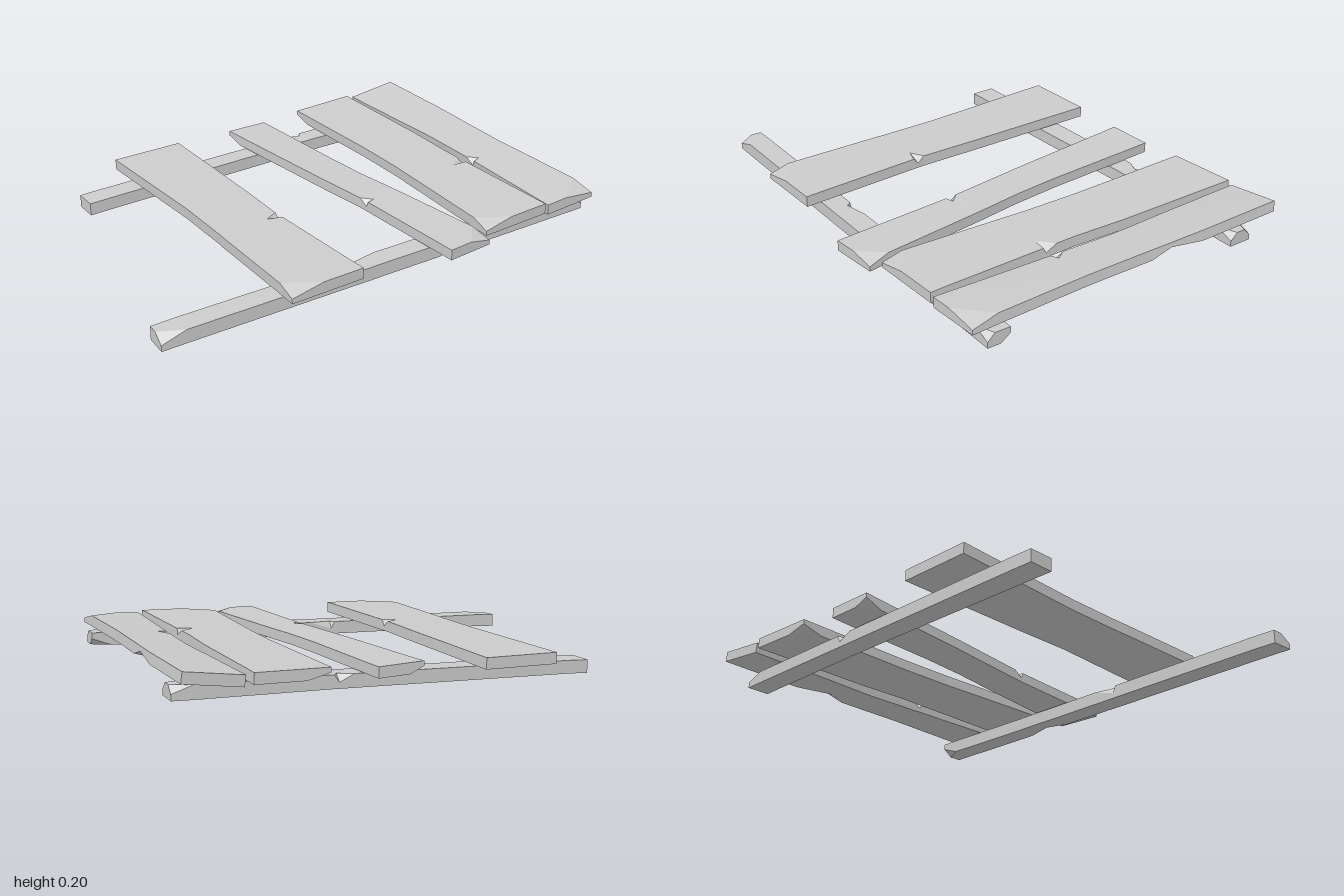
import * as THREE from 'three';

// A rough board lofted through sections. Each section is
// [left top corner, right top corner, chips], chips = { lt, rt, lb, rb }
// giving how far each long edge (left/right, top/bottom) is chipped inwards.
function board(name, thickness, sections) {
  const rings = sections.map(([l, r, chips = {}]) => {
    const L = new THREE.Vector3(...l), R = new THREE.Vector3(...r);
    const across = R.clone().sub(L).normalize();
    const up = new THREE.Vector3(0, 1, 0).addScaledVector(across, -across.y).normalize();
    const down = up.multiplyScalar(-thickness);
    const corner = (base, inward, vertical, width = 0) => {
      const drop = width ? thickness * 0.55 : 0;
      return {
        flat: base.clone().addScaledVector(across, inward * width),
        side: base.clone().addScaledVector(down, vertical * drop / thickness),
      };
    };
    const lt = corner(L, 1, 1, chips.lt), rt = corner(R, -1, 1, chips.rt);
    const lb = corner(L.clone().add(down), 1, -1, chips.lb);
    const rb = corner(R.clone().add(down), -1, -1, chips.rb);
    return [lb.flat, rb.flat, rb.side, rt.side, rt.flat, lt.flat, lt.side, lb.side];
  });

  const pos = [];
  const tri = (a, b, c) => {
    const area = b.clone().sub(a).cross(c.clone().sub(a)).length();
    if (area > 1e-7) for (const p of [a, b, c]) pos.push(p.x, p.y, p.z);
  };
  for (let s = 0; s < rings.length - 1; s++) {
    const A = rings[s], B = rings[s + 1];
    for (let i = 0; i < 8; i++) {
      const j = (i + 1) % 8;
      tri(A[i], A[j], B[j]);
      tri(A[i], B[j], B[i]);
    }
  }
  // End caps
  const first = rings[0], last = rings[rings.length - 1];
  const middle = (ring) => ring.reduce((m, p) => m.add(p), new THREE.Vector3()).divideScalar(8);
  const m0 = middle(first), m1 = middle(last);
  for (let i = 0; i < 8; i++) {
    const j = (i + 1) % 8;
    tri(m0, first[j], first[i]);
    tri(m1, last[i], last[j]);
  }
  const geo = new THREE.BufferGeometry();
  geo.setAttribute('position', new THREE.Float32BufferAttribute(pos, 3));
  geo.computeVertexNormals();
  const mesh = new THREE.Mesh(geo, new THREE.MeshStandardMaterial({ color: 0xcccccc, flatShading: true }));
  mesh.name = name;
  return mesh;
}

export function createModel() {
  const group = new THREE.Group();
  group.name = 'brokenFence';

  // Upright planks, sections run from back to front
  group.add(board('widePlank', 0.045, [
    [[-0.485, 0.138, -0.75], [-0.175, 0.145, -0.74]],
    [[-0.485, 0.137, -0.15], [-0.205, 0.144, -0.15]],
    [[-0.497, 0.136, 0.095], [-0.222, 0.143, 0.095]],
    [[-0.499, 0.136, 0.125], [-0.222, 0.143, 0.125], { rt: 0.06 }],
    [[-0.501, 0.136, 0.145], [-0.222, 0.143, 0.145]],
    [[-0.526, 0.134, 0.57], [-0.221, 0.142, 0.57]],
    [[-0.532, 0.133, 0.655], [-0.22, 0.142, 0.665], { lt: 0.14 }],
  ]));

  group.add(board('narrowPlank', 0.043, [
    [[0.075, 0.153, -0.71], [0.265, 0.15, -0.715], { lb: 0.06 }],
    [[0.08, 0.152, -0.63], [0.267, 0.15, -0.63]],
    [[0.103, 0.15, -0.2], [0.27, 0.15, -0.2]],
    [[0.116, 0.148, 0], [0.278, 0.149, 0]],
    [[0.13, 0.147, 0.19], [0.295, 0.148, 0.19]],
    [[0.131, 0.146, 0.23], [0.298, 0.148, 0.23], { lt: 0.035 }],
    [[0.131, 0.146, 0.24], [0.299, 0.148, 0.24]],
    [[0.134, 0.142, 0.645], [0.327, 0.146, 0.645]],
    [[0.135, 0.141, 0.745], [0.335, 0.145, 0.735], { rt: 0.1 }],
  ]));

  group.add(board('middlePlank', 0.043, [
    [[0.45, 0.167, -0.71], [0.742, 0.177, -0.71], { lb: 0.09 }],
    [[0.448, 0.167, -0.62], [0.737, 0.177, -0.62]],
    [[0.435, 0.165, -0.17], [0.712, 0.175, -0.17]],
    [[0.42, 0.164, 0.06], [0.69, 0.174, 0.06]],
    [[0.411, 0.163, 0.145], [0.686, 0.173, 0.145]],
    [[0.406, 0.163, 0.195], [0.685, 0.173, 0.195], { rt: 0.065 }],
    [[0.405, 0.163, 0.205], [0.684, 0.173, 0.205]],
    [[0.363, 0.16, 0.61], [0.668, 0.171, 0.61]],
    [[0.355, 0.159, 0.695], [0.665, 0.17, 0.7], { lt: 0.13 }],
  ]));

  group.add(board('outerPlank', 0.043, [
    [[0.767, 0.17, -0.7], [0.992, 0.202, -0.69]],
    [[0.757, 0.168, -0.32], [0.973, 0.196, -0.32]],
    [[0.755, 0.167, -0.17], [0.961, 0.193, -0.17], { rb: 0.06 }],
    [[0.752, 0.166, -0.08], [0.953, 0.191, -0.08]],
    [[0.733, 0.165, 0.155], [0.935, 0.187, 0.155]],
    [[0.729, 0.165, 0.2], [0.933, 0.187, 0.2], { lt: 0.035 }],
    [[0.728, 0.165, 0.21], [0.932, 0.187, 0.21]],
    [[0.69, 0.161, 0.6], [0.918, 0.182, 0.6]],
    [[0.68, 0.16, 0.7], [0.915, 0.18, 0.71], { rt: 0.14 }],
  ]));

  // Cross rails, sections run from the low end to the raised end
  group.add(board('frontRail', 0.055, [
    [[-1, 0.056, 0.54], [-0.99, 0.056, 0.447], { lt: 0.05 }],
    [[-0.9, 0.061, 0.548], [-0.9, 0.061, 0.453]],
    [[-0.17, 0.082, 0.59], [-0.17, 0.082, 0.497]],
    [[-0.155, 0.082, 0.591], [-0.155, 0.082, 0.498], { rt: 0.02 }],
    [[-0.05, 0.086, 0.597], [-0.05, 0.086, 0.505]],
    [[0.2, 0.093, 0.611], [0.2, 0.093, 0.52]],
    [[0.3, 0.097, 0.617], [0.3, 0.097, 0.526], { lb: 0.03 }],
    [[0.42, 0.1, 0.624], [0.42, 0.1, 0.533]],
    [[0.85, 0.114, 0.648], [0.85, 0.114, 0.554]],
    [[0.925, 0.116, 0.652], [0.932, 0.116, 0.558], { lt: 0.03, rb: 0.04 }],
  ]));

  group.add(board('backRail', 0.053, [
    [[-0.715, 0.068, -0.547], [-0.71, 0.068, -0.648]],
    [[-0.62, 0.073, -0.542], [-0.62, 0.073, -0.643]],
    [[0.3, 0.106, -0.507], [0.3, 0.106, -0.597]],
    [[0.36, 0.108, -0.504], [0.36, 0.108, -0.594], { rt: 0.025 }],
    [[0.38, 0.109, -0.503], [0.38, 0.109, -0.593]],
    [[0.91, 0.124, -0.476], [0.91, 0.124, -0.572]],
    [[0.985, 0.127, -0.47], [0.99, 0.127, -0.567], { lt: 0.03, rt: 0.03 }],
  ]));

  return group;
}
